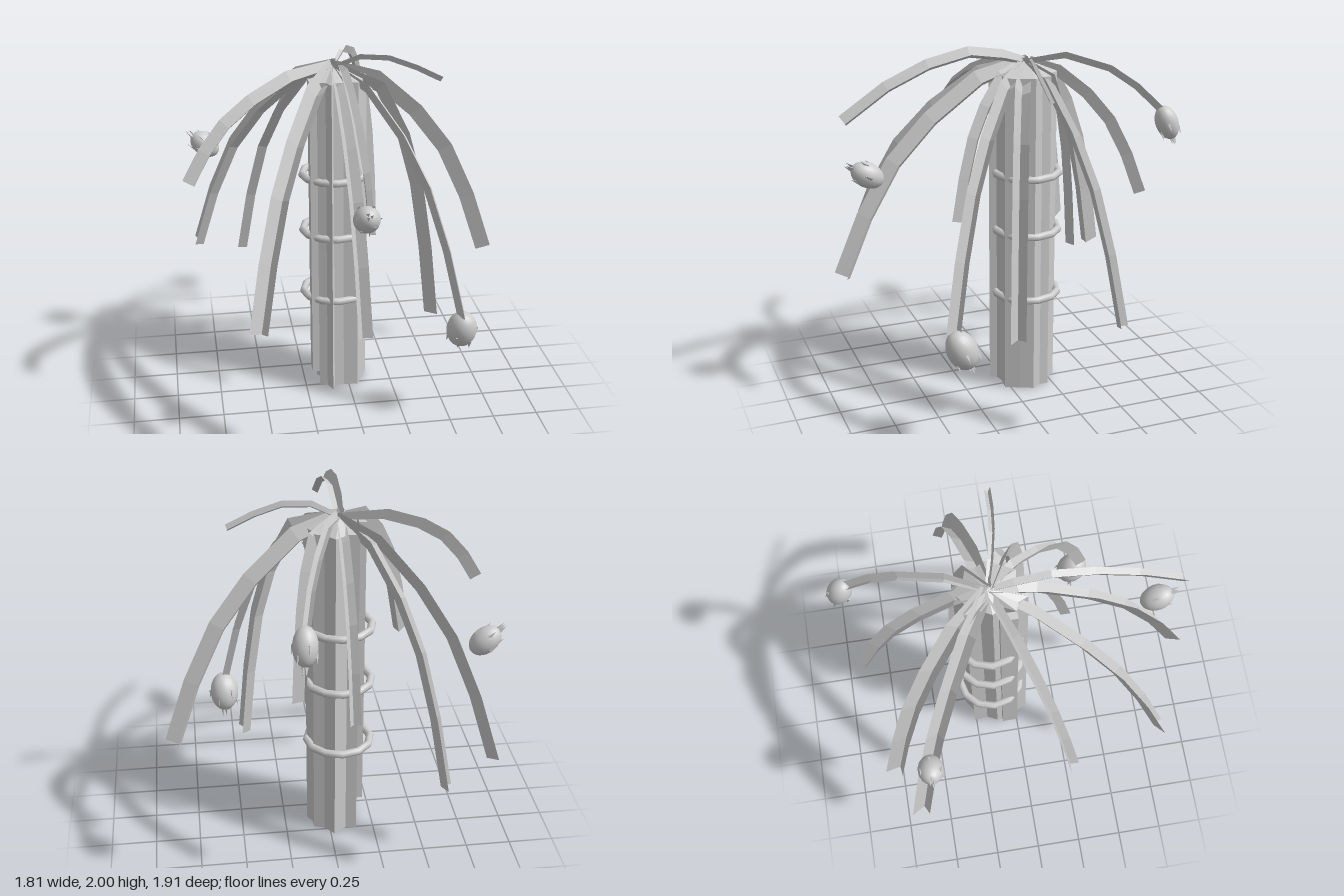
import * as THREE from 'three';

const mat = new THREE.MeshStandardMaterial({ color: 0xcccccc, flatShading: true, side: THREE.DoubleSide });
const smooth = new THREE.MeshStandardMaterial({ color: 0xcccccc });
const V = (x, y, z) => new THREE.Vector3(x, y, z);
const CROWN = V(-0.06, 1.9, -0.13);

// Rolled L-shaped frond section: [sideways, outward] in half widths
const SECTION = [[-0.85, 0.9], [-0.15, -0.9], [0.9, -0.25]];

// Folded strip swept along a list of points
function strip(points, half) {
  const side = points[points.length - 1].clone().sub(points[0]).setY(0).normalize();
  side.set(side.z, 0, -side.x);
  const pos = [], index = [];
  points.forEach((p, i) => {
    const a = points[Math.max(i - 1, 0)], b = points[Math.min(i + 1, points.length - 1)];
    const up = b.clone().sub(a).normalize().cross(side).normalize();
    const w = i === 0 ? half * 0.7 : half;
    for (const [s, u] of SECTION) {
      const q = p.clone().addScaledVector(side, s * w).addScaledVector(up, u * w);
      pos.push(q.x, q.y, q.z);
    }
    if (i > 0) for (const k of [0, 1]) {
      const n = i * 3 + k, m = n - 3;
      index.push(m, m + 1, n, m + 1, n + 1, n);
    }
  });
  const g = new THREE.BufferGeometry();
  g.setAttribute('position', new THREE.Float32BufferAttribute(pos, 3));
  g.setIndex(index);
  g.computeVertexNormals();
  return g;
}

// Drooping frond from the crown to a tip; a smaller bow bulges it outward sooner
const DROOP = [[0, 0], [0.25, 0.07], [0.51, 0.25], [0.71, 0.45], [0.87, 0.71], [1, 1]];
function droop([x, y, z], bow) {
  return DROOP.map(([f, d]) => {
    const r = Math.pow(f, bow);
    return V(
      THREE.MathUtils.lerp(CROWN.x, x, r),
      THREE.MathUtils.lerp(CROWN.y, y, d),
      THREE.MathUtils.lerp(CROWN.z, z, r));
  });
}

// Egg-shaped bud with thin pointed scales, tip along dir
function bud(center, dir, r, len) {
  const g = new THREE.Group();
  g.name = 'bud';
  const body = new THREE.Mesh(new THREE.SphereGeometry(1, 18, 14), smooth);
  body.name = 'budBody';
  body.scale.set(r, len, r);
  g.add(body);
  const addScale = (lat, lon, size) => {
    const c = Math.cos(lat), s = Math.sin(lat);
    const cone = new THREE.Mesh(new THREE.ConeGeometry(size * 0.25, size, 3), mat);
    cone.name = 'budScale';
    cone.position.set(r * c * Math.cos(lon), len * s + size * 0.2, r * c * Math.sin(lon));
    const out = V(Math.cos(lon) * 0.15 * c, 1, Math.sin(lon) * 0.15 * c).normalize();
    cone.quaternion.setFromUnitVectors(V(0, 1, 0), out);
    g.add(cone);
  };
  for (let i = 0; i < 6; i++) addScale(0.05 + (i % 2) * 0.45, i * Math.PI / 3, 0.05);
  for (let i = 0; i < 3; i++) addScale(1.4, i * Math.PI * 2 / 3, 0.06);
  g.position.set(...center);
  g.quaternion.setFromUnitVectors(V(0, 1, 0), V(...dir).normalize());
  return g;
}

export function createModel() {
  const root = new THREE.Group();
  const add = (name, geo, m = mat) => {
    const mesh = new THREE.Mesh(geo, m);
    mesh.name = name;
    root.add(mesh);
    return mesh;
  };

  // Trunk: angular hollow column with ribs, open below
  const outline = [[-0.17, 0], [-0.125, 0.015], [-0.1, 0.07], [-0.085, 0.03], [-0.03, 0.02], [0.05, 0.03],
    [0.09, -0.05], [0.12, -0.12], [0.09, -0.17], [0.09, -0.22], [0.03, -0.24], [-0.02, -0.3],
    [-0.09, -0.25], [-0.15, -0.26], [-0.14, -0.18], [-0.17, -0.12], [-0.14, -0.06]];
  const H = 1.84, pos = [], index = [], n = outline.length;
  outline.forEach(([x, z], i) => {
    const j = (i + 1) % n;
    pos.push(x, 0, z, x, H, z);
    index.push(2 * i, 2 * j, 2 * i + 1, 2 * j, 2 * j + 1, 2 * i + 1);
    index.push(2 * i + 1, 2 * j + 1, 2 * n);
  });
  pos.push(CROWN.x, 1.91, CROWN.z);
  const trunk = new THREE.BufferGeometry();
  trunk.setAttribute('position', new THREE.Float32BufferAttribute(pos, 3));
  trunk.setIndex(index);
  trunk.computeVertexNormals();
  add('trunk', trunk);

  // Loose bark strip on the side of the trunk
  const bark = add('barkStrip', new THREE.BoxGeometry(0.04, 1.75, 0.09));
  bark.position.set(-0.19, 0.09 + 0.875, -0.045);

  // Bands around the trunk
  for (const y of [0.555, 0.94, 1.275]) {
    const band = add('trunkBand', new THREE.TorusGeometry(0.18, 0.022, 8, 12), smooth);
    band.rotation.x = Math.PI / 2;
    band.position.set(-0.06, y, -0.14);
  }

  // Drooping fronds: tip, half width, bow
  const fronds = [
    [[0.86, 0.69, -0.31], 0.046, 1],
    [[0.465, 0.49, 0.11], 0.046, 0.55],
    [[0.08, 1.07, 0.31], 0.03, 0.8],
    [[-0.06, 0.79, 0.93], 0.046, 1],
    [[-0.57, 0.76, 0.76], 0.046, 1],
    [[-0.87, 1.37, 0.18], 0.036, 0.85],
    [[-0.83, 0.69, -0.64], 0.046, 1],
    [[-0.555, 0.6, -0.76], 0.046, 0.9],
    [[-0.05, 1.07, -0.84], 0.035, 1],
    [[0.17, 0.9, -0.32], 0.037, 0.4],
    [[0.55, 0.64, 0.5], 0.036, 0.95],
  ];
  for (const [tip, half, bow] of fronds) add('frond', strip(droop(tip, bow), half));

  // Young fronds that rise before they bend
  const raised = [
    [0.032, [[-0.06, 1.9, -0.13], [-0.06, 1.94, 0], [-0.06, 1.97, 0.19], [-0.06, 1.92, 0.42], [-0.06, 1.82, 0.65], [-0.06, 1.66, 0.89]]],
    [0.018, [[-0.06, 1.89, -0.13], [0.08, 1.95, -0.09], [0.23, 1.945, -0.06], [0.38, 1.89, -0.045], [0.52, 1.82, -0.04]]],
    [0.022, [[-0.06, 1.9, -0.13], [0.02, 1.935, -0.33], [0.1, 1.86, -0.56], [0.15, 1.76, -0.7], [0.19, 1.62, -0.84]]],
  ];
  for (const [half, pts] of raised) add('youngFrond', strip(pts.map(p => V(...p)), half));

  // Buds
  root.add(
    bud([0.555, 0.55, 0.46], [0, -1, -0.45], 0.083, 0.115),
    bud([-0.03, 1.365, 0.78], [0, 0.5, 0.85], 0.068, 0.095),
    bud([-0.76, 1.345, -0.54], [-0.7, 0.6, 0], 0.067, 0.092),
    bud([0.2, 1.55, -0.87], [0.05, -0.9, -0.35], 0.064, 0.1));
  return root;
}
